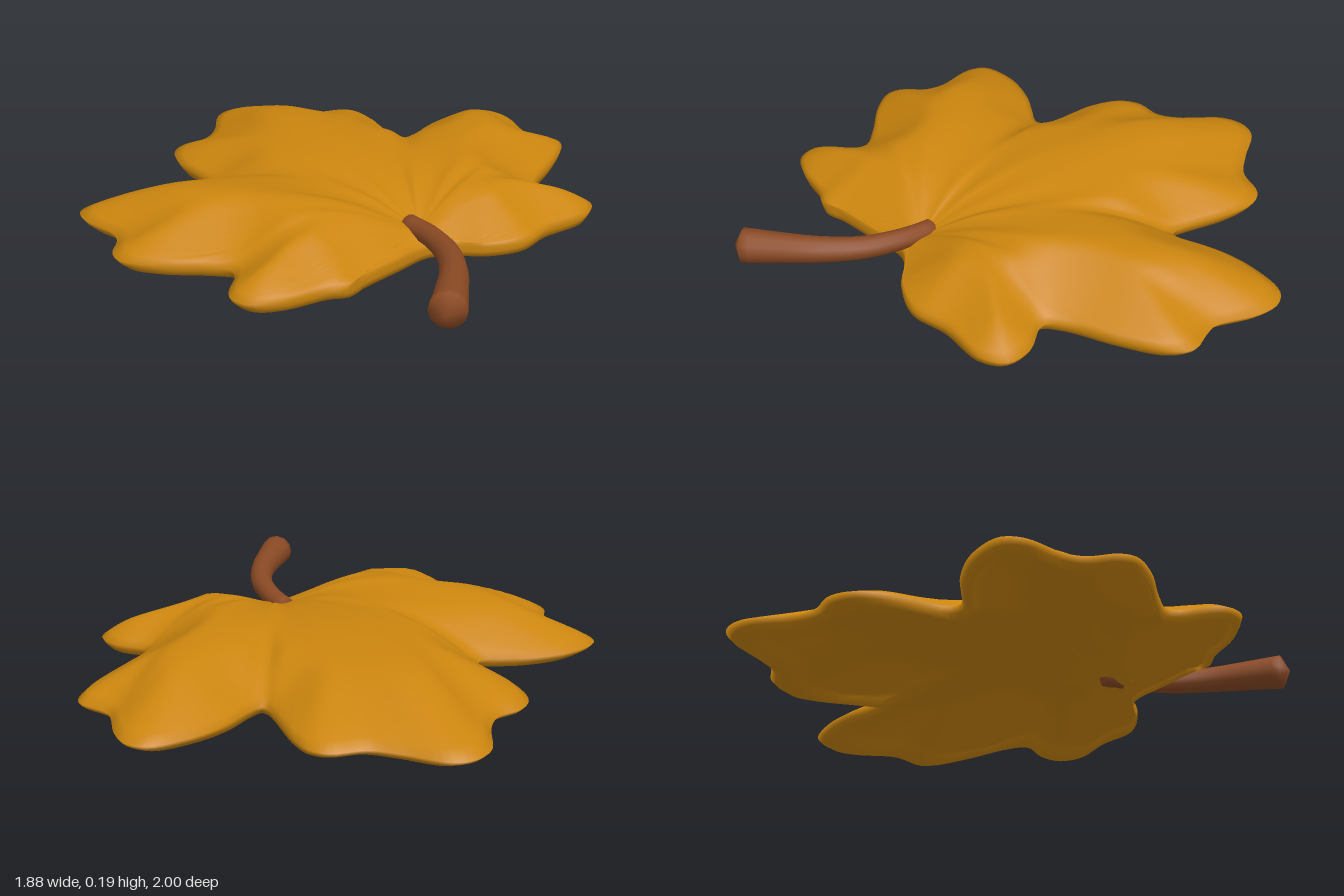
import * as THREE from 'three';
import { toCreasedNormals } from 'three/addons/utils/BufferGeometryUtils.js';

// Leaf outline as [x, z], from the base notch round the left, top and right lobes
const OUTLINE = [
  [-0.04, 0.5], [-0.2, 0.53], [-0.36, 0.565], [-0.43, 0.59], [-0.5, 0.565], [-0.65, 0.55], [-0.74, 0.51],
  [-0.765, 0.44], [-0.74, 0.39], [-0.68, 0.32], [-0.67, 0.27], [-0.74, 0.2], [-0.87, 0.1], [-0.94, 0.01],
  [-0.935, -0.05], [-0.88, -0.13], [-0.87, -0.2], [-0.905, -0.35], [-0.88, -0.42], [-0.75, -0.455],
  [-0.6, -0.43], [-0.5, -0.385], [-0.43, -0.355], [-0.395, -0.38], [-0.395, -0.62], [-0.36, -0.72],
  [-0.3, -0.765], [-0.2, -0.775], [-0.13, -0.83], [-0.03, -0.97], [0.05, -1], [0.12, -0.98], [0.22, -0.86],
  [0.3, -0.78], [0.41, -0.745], [0.455, -0.69], [0.46, -0.6], [0.43, -0.33], [0.48, -0.34], [0.6, -0.4],
  [0.73, -0.43], [0.88, -0.42], [0.93, -0.36], [0.93, -0.28], [0.89, -0.13], [0.91, -0.07], [0.94, 0],
  [0.91, 0.06], [0.78, 0.16], [0.62, 0.26], [0.565, 0.325], [0.64, 0.43], [0.65, 0.52], [0.58, 0.58],
  [0.4, 0.595], [0.26, 0.635], [0.13, 0.6], [0.05, 0.54],
];
const CX = -0.03, CZ = 0.42; // where the veins meet

// Lobe ridges: [angle from the back, strength]
const LOBES = [[0.05, 1], [0.97, 1], [-0.97, 1], [1.77, 0.15], [-1.75, 0.15]];

// Height against distance from the vein centre, along a ridge and along a valley
const profile = (pts) => {
  const curve = new THREE.SplineCurve(pts.map(([x, y]) => new THREE.Vector2(x, y)));
  const samples = curve.getPoints(200);
  return (t) => {
    const k = Math.max(1, samples.findIndex((p) => p.x >= t - 1e-6));
    const a = samples[k - 1], b = samples[k];
    return THREE.MathUtils.mapLinear(t, a.x, b.x, a.y, b.y);
  };
};
const ridgeHeight = profile([[0, 0.09], [0.2, 0.16], [0.4, 0.193], [0.6, 0.189], [0.73, 0.17], [0.86, 0.11], [1, 0.04]]);
const valleyHeight = profile([[0, 0.09], [0.2, 0.14], [0.4, 0.16], [0.6, 0.155], [0.85, 0.1], [1, 0.04]]);

function ridgeAt(x, z) {
  const angle = Math.atan2(x - CX, CZ - z);
  let r = 0;
  for (const [a, strength] of LOBES) r += strength * Math.exp(-(((angle - a) / 0.32) ** 2));
  return Math.min(r, 1);
}

// Smaller of two heights, with a soft join
function softMin(a, b, k = 0.02) {
  const h = Math.max(k - Math.abs(a - b), 0) / k;
  return Math.min(a, b) - h * h * k * 0.25;
}

// Closed shell: domed top, bevelled rim, hollow underside
function leafGeometry() {
  const N = 260, STEPS = 24;
  const curve = new THREE.CatmullRomCurve3(OUTLINE.map(([x, z]) => new THREE.Vector3(x, 0, z)), true);
  const rim = curve.getSpacedPoints(N).slice(0, N).map((p) => ({
    x: p.x - CX, z: p.z - CZ, ridge: ridgeAt(p.x, p.z), radius: Math.hypot(p.x - CX, p.z - CZ),
  }));
  const rimDistance = (x, z) => Math.sqrt(rim.reduce((d, q) => Math.min(d, (q.x - x) ** 2 + (q.z - z) ** 2), 9));

  // The blade slopes down to every edge and dips into a shallow funnel round the stem
  const top = (t, p) => {
    const dome = THREE.MathUtils.lerp(valleyHeight(t), ridgeHeight(t), p.ridge);
    const funnel = 0.07 + 0.45 * t * p.radius;
    const edge = 0.045 + 0.62 * rimDistance(p.x * t, p.z * t);
    return softMin(softMin(dome, funnel), edge);
  };
  const under = (t, p) => Math.max(0.005, top(t, p) - 0.032);

  const rows = [];
  for (let i = 0; i <= STEPS; i++) rows.push([i / STEPS, top]);
  rows.push([0.985, () => 0.018], [0.96, () => 0]);
  for (let i = STEPS - 2; i >= 0; i--) rows.push([i / STEPS, under]);

  const pos = [], index = [];
  rows.forEach(([t, height], i) => {
    rim.forEach((p, j) => {
      pos.push(CX + p.x * t, height(t, p), CZ + p.z * t);
      if (i === rows.length - 1) return;
      const k = (j + 1) % N;
      const a = i * N + j, b = i * N + k, c = a + N, d = b + N;
      index.push(a, d, c, a, b, d);
    });
  });
  const g = new THREE.BufferGeometry();
  g.setAttribute('position', new THREE.Float32BufferAttribute(pos, 3));
  g.setIndex(index);
  g.computeVertexNormals();
  return g;
}

// Curved stem that thickens to a blunt end
function stemGeometry() {
  const SEG = 24, SIDES = 12;
  const path = new THREE.CatmullRomCurve3([
    [-0.04, 0.074, 0.345], [-0.037, 0.077, 0.42], [-0.04, 0.082, 0.5], [-0.07, 0.086, 0.63],
    [-0.14, 0.092, 0.76], [-0.24, 0.092, 0.88], [-0.33, 0.09, 0.98],
  ].map((p) => new THREE.Vector3(...p)));
  const g = new THREE.TubeGeometry(path, SEG, 1, SIDES, false);
  const pos = g.attributes.position, v = new THREE.Vector3();
  for (let i = 0; i <= SEG; i++) {
    const u = i / SEG;
    const centre = path.getPointAt(u);
    const radius = i === 0 || i === SEG ? 0 : 0.036 + 0.028 * u * u;
    for (let j = 0; j <= SIDES; j++) {
      const n = i * (SIDES + 1) + j;
      v.fromBufferAttribute(pos, n).sub(centre).multiplyScalar(radius).add(centre);
      pos.setXYZ(n, v.x, v.y, v.z);
    }
  }
  return toCreasedNormals(g, 1.4);
}

export function createModel() {
  const leafGold = new THREE.MeshStandardMaterial({ color: 0xcb850e });
  leafGold.name = 'leafGold';
  const stemBrown = new THREE.MeshStandardMaterial({ color: 0x8b4a24 });
  stemBrown.name = 'stemBrown';

  const model = new THREE.Group();
  model.name = 'mapleLeaf';
  const leaf = new THREE.Mesh(leafGeometry(), leafGold);
  leaf.name = 'leafBlade';
  const stem = new THREE.Mesh(stemGeometry(), stemBrown);
  stem.name = 'stem';
  model.add(leaf, stem);
  return model;
}
